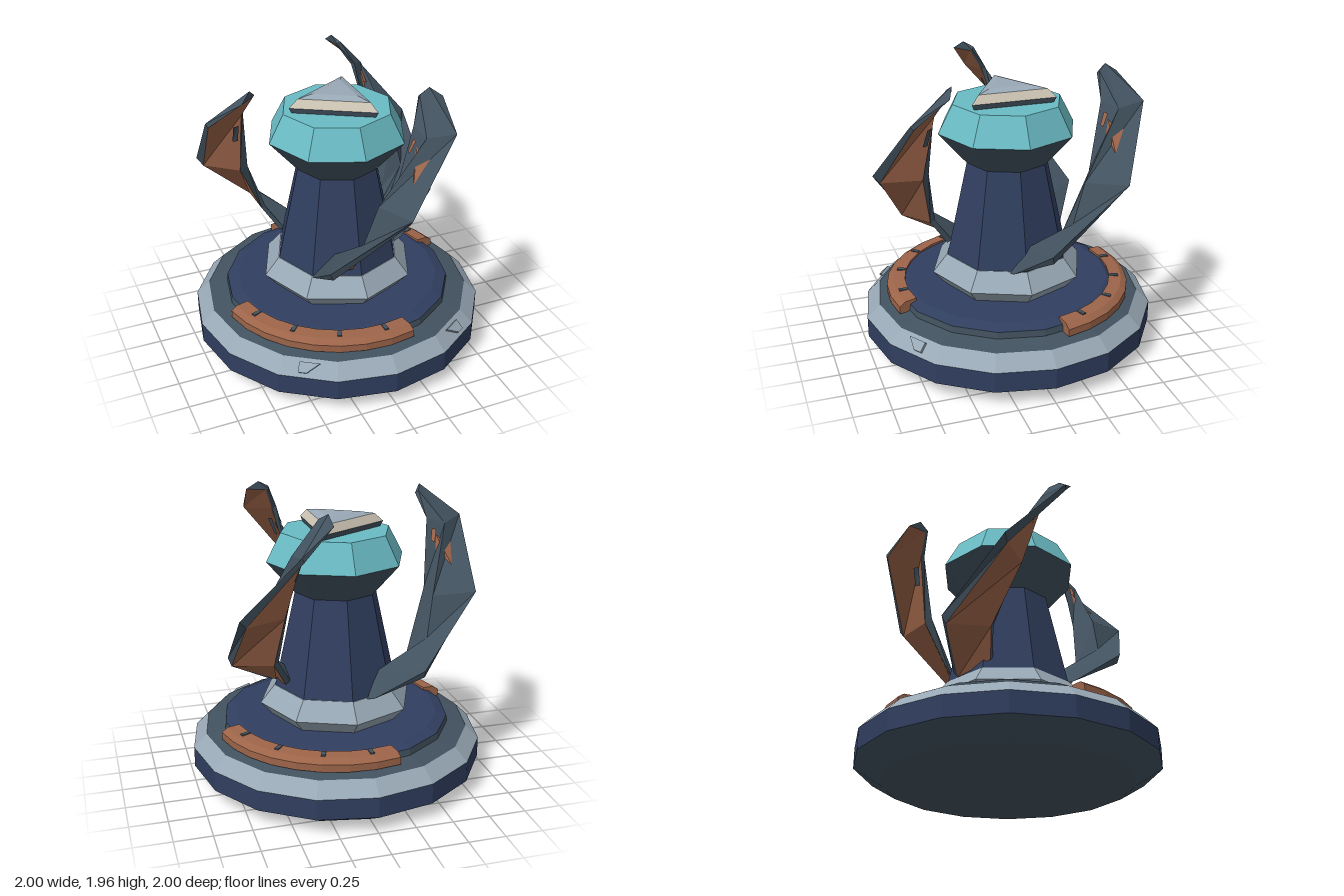
import * as THREE from 'three';

const mat = (name, color, side = THREE.FrontSide) =>
  Object.assign(new THREE.MeshStandardMaterial({ color, flatShading: true, side }), { name });

export function createModel() {
  const model = new THREE.Group();
  model.name = 'clawTower';
  const navy = mat('navy', 0x303e5f);
  const grey = mat('light grey metal', 0x98a8b5);
  const slate = mat('dark slate', 0x42525f);
  const bronze = mat('bronze', 0x9c6449, THREE.DoubleSide);
  const teal = mat('teal crystal', 0x6abbc4);
  const beige = mat('beige', 0xcfc7b6);

  const add = (name, geometry, material, parent = model) => {
    const mesh = new THREE.Mesh(geometry, material);
    mesh.name = name;
    parent.add(mesh);
    return mesh;
  };

  // Faceted band between two heights
  const band = (name, sides, [r0, y0], [r1, y1], material, capped = false, start = 0) => {
    const geo = new THREE.CylinderGeometry(r1, r0, y1 - y0, sides, 1, !capped, start);
    geo.translate(0, (y0 + y1) / 2, 0);
    return add(name, geo, material);
  };

  // Round base
  band('baseUnderside', 16, [0.82, 0], [1, 0.11], slate, true);
  band('baseWall', 16, [1, 0.11], [1, 0.25], navy);
  band('baseBevel', 16, [1, 0.25], [0.91, 0.34], grey);
  band('baseLedge', 16, [0.91, 0.34], [0.78, 0.365], slate);
  band('deckWall', 16, [0.78, 0.365], [0.775, 0.41], slate);
  band('deck', 16, [0.775, 0.41], [0.7, 0.438], navy, true);

  // Tower and crystal head
  band('towerCollarLower', 8, [0.45, 0.438], [0.53, 0.53], grey);
  band('towerCollarUpper', 8, [0.53, 0.53], [0.43, 0.65], grey, true);
  band('towerColumn', 8, [0.425, 0.65], [0.28, 1.3], navy);
  band('headUnderside', 8, [0.28, 1.3], [0.47, 1.52], slate);
  band('headCrystal', 8, [0.47, 1.52], [0.37, 1.71], teal, true);

  // Triangular cap, one corner to the model's right
  const corner = -Math.PI / 2;
  band('capFoot', 3, [0.31, 1.71], [0.33, 1.745], slate, true, corner);
  band('capBevel', 3, [0.33, 1.745], [0.27, 1.8], beige, false, corner);
  band('capTop', 3, [0.27, 1.8], [0.17, 1.818], grey, true, corner);

  // Two opposite bronze arcs with notches
  const section = [[0.715, 0.36], [0.84, 0.36], [0.84, 0.41], [0.8, 0.438], [0.715, 0.444], [0.715, 0.36]]
    .map(([r, y]) => new THREE.Vector2(r, y));
  const deg = THREE.MathUtils.degToRad;
  for (let k = 0; k < 2; k++) {
    const arc = new THREE.Group();
    arc.name = 'bronzeArc';
    arc.rotation.y = k * Math.PI;
    model.add(arc);
    const from = deg(-80), to = deg(14);
    add('arcRail', new THREE.LatheGeometry(section, 8, from, to - from), bronze, arc);
    for (const phi of [from, to]) {
      const end = new THREE.ShapeGeometry(new THREE.Shape(section.slice(0, 5)));
      add('arcEnd', end.rotateY(phi - Math.PI / 2), bronze, arc);
    }
    for (let i = 0; i < 4; i++) {
      const notch = new THREE.BoxGeometry(0.028, 0.02, 0.06).translate(0, 0.438, 0.748);
      add('arcNotch', notch.rotateY(deg(-68 + i * 23.3)), slate, arc);
    }
  }

  // Small wedges on the front of the base bevel
  for (const s of [-1, 1]) {
    const outline = [[-0.07, 0.035], [0.01, -0.035], [0.065, -0.035], [0.065, 0.035]]
      .map(([x, y]) => new THREE.Vector2(x * s, y));
    const geo = new THREE.ExtrudeGeometry(new THREE.Shape(outline), { depth: 0.02, bevelEnabled: false });
    geo.rotateX(-Math.PI / 4).translate(0, 0.297, 0.937).rotateY(s * deg(33.75));
    add('bevelWedge', geo, grey);
  }

  // Claw cross-sections from root to tip: outer ridge, bronze outer, bronze inner, inner edge, back ridge
  const rows = [
    [[-0.31, 0.66, 0.34], [-0.29, 0.645, 0.29], [-0.06, 0.705, 0.41], [-0.05, 0.73, 0.38], [-0.15, 0.8, 0.33]],
    [[-0.33, 0.9, 0.68], [-0.305, 0.845, 0.67], [-0.04, 0.88, 0.53], [-0.03, 0.9, 0.5], [-0.09, 1.04, 0.645]],
    [[0.1, 1.32, 0.93], [0.108, 1.27, 0.885], [0.17, 1.28, 0.62], [0.148, 1.31, 0.575], [0, 1.3, 0.66]],
    [[0.465, 1.75, 0.754], [0.47, 1.725, 0.735], [0.3, 1.74, 0.565], [0.27, 1.755, 0.56], [0.3, 1.72, 0.68]],
    [[0.41, 1.957, 0.48], [0.489, 1.9, 0.513], [0.36, 1.895, 0.475], [0.345, 1.905, 0.465], [0.34, 1.92, 0.49]],
  ].map(row => row.map(p => new THREE.Vector3(...p)));

  const quadGeometry = quads => {
    const pts = quads.flatMap(([a, b, c, d]) => [a, b, c, a, c, d]);
    const geo = new THREE.BufferGeometry().setFromPoints(pts);
    geo.computeVertexNormals();
    return geo;
  };
  // Skin of the claw for the chosen sides
  const strip = sides => rows.slice(0, -1).flatMap((row, i) =>
    sides.map(j => [row[j], row[(j + 1) % 5], rows[i + 1][(j + 1) % 5], rows[i + 1][j]]));
  // Thin plate lying on one claw face
  const plate = (i, j, u0, u1, v0, v1) => {
    const at = (u, v) => rows[i][j].clone().lerp(rows[i][j + 1], u)
      .lerp(rows[i + 1][j].clone().lerp(rows[i + 1][j + 1], u), v);
    const q = [at(u0, v0), at(u1, v0), at(u1, v1), at(u0, v1)];
    const n = q[1].clone().sub(q[0]).cross(q[3].clone().sub(q[0])).normalize();
    return quadGeometry([q.map(p => p.addScaledVector(n, 0.008))]);
  };
  const cap = ([a, b, c, d, e]) => [[a, b, c, d], [a, d, e, e]];

  const shell = quadGeometry([
    ...strip([0, 2, 3, 4]), ...cap(rows[4]), ...cap([...rows[0]].reverse()),
  ]);
  const face = quadGeometry(strip([1]));
  const innerChip = plate(2, 1, 0.76, 0.92, 0.58, 0.85);
  const backChip = plate(2, 3, 0.35, 0.6, 0.7, 0.88);

  for (let k = 0; k < 3; k++) {
    const claw = new THREE.Group();
    claw.name = 'claw';
    claw.rotation.y = k * Math.PI * 2 / 3;
    model.add(claw);
    add('clawShell', shell, slate, claw);
    add('clawBronzeFace', face, bronze, claw);
    add('clawFaceChip', innerChip, slate, claw);
    add('clawBackChip', backChip, bronze, claw);
  }
  return model;
}
